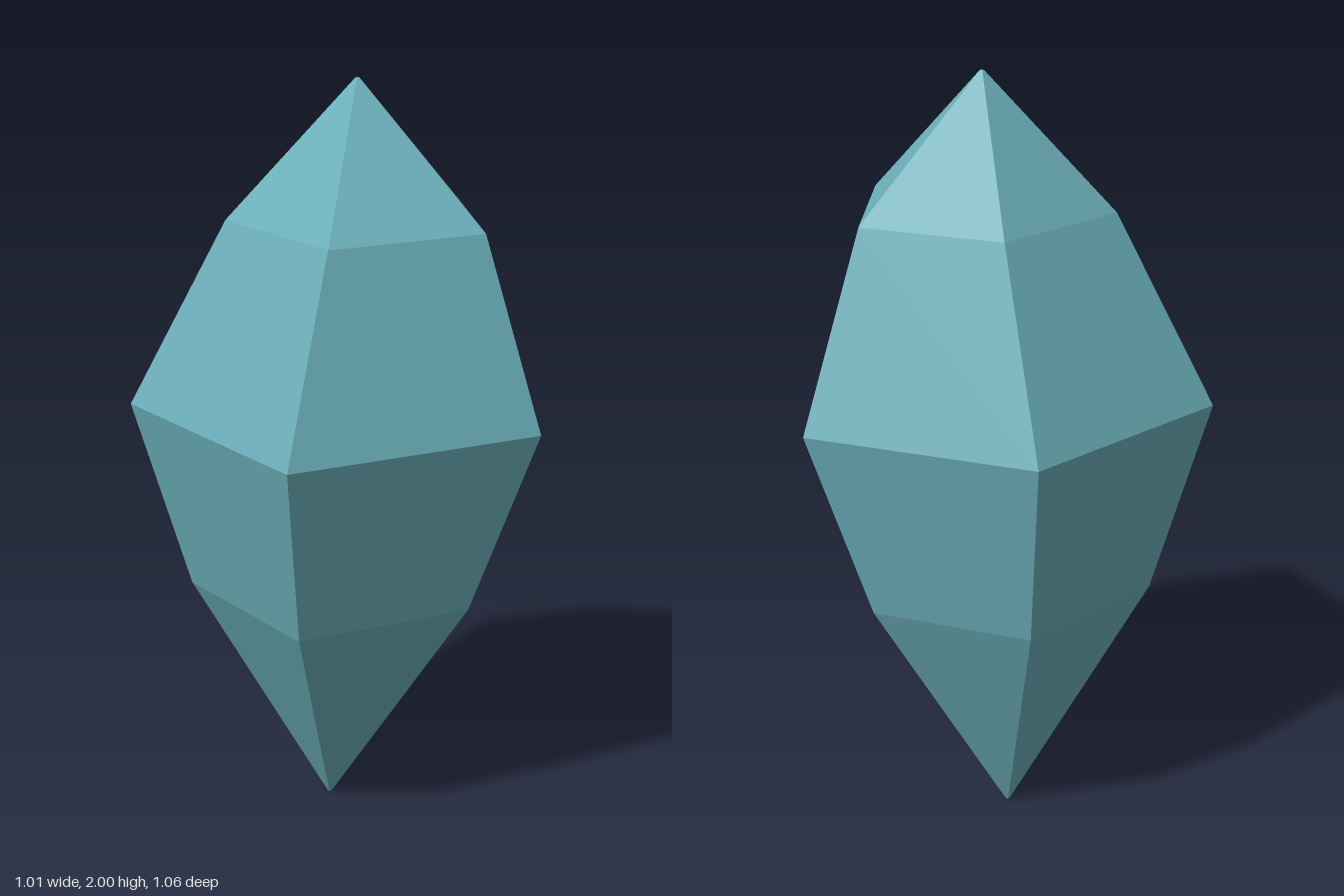
import * as THREE from 'three';

// Widest outline of the gem as [x, z], five corners
const OUTLINE = [[0.505, -0.03], [0.13, 0.53], [-0.51, 0.30], [-0.45, -0.315], [0.11, -0.53]];

// Cross-sections from bottom to top: height, scale of the outline, sideways shift
const SECTIONS = [
  { y: 0, s: 0.01, x: -0.115, z: -0.025 },
  { y: 0.66, s: 0.705, x: -0.041, z: -0.004 },
  { y: 1.17, s: 1, x: 0, z: 0 },
  { y: 1.655, s: 0.616, x: 0.029, z: -0.01 },
  { y: 2, s: 0.01, x: -0.025, z: -0.03 },
];

function loftGeometry() {
  const n = OUTLINE.length;
  const positions = SECTIONS.flatMap(({ y, s, x, z }) =>
    OUTLINE.flatMap(([px, pz]) => [px * s + x, y, pz * s + z]));
  const index = [];
  // Facets between neighbouring sections
  for (let r = 0; r < SECTIONS.length - 1; r++) {
    for (let i = 0; i < n; i++) {
      const a = r * n + i, b = r * n + (i + 1) % n;
      index.push(a, a + n, b + n, a, b + n, b);
    }
  }
  // Tiny caps at both tips
  const top = (SECTIONS.length - 1) * n;
  for (let i = 1; i < n - 1; i++) {
    index.push(0, i, i + 1, top, top + i + 1, top + i);
  }
  const indexed = new THREE.BufferGeometry();
  indexed.setAttribute('position', new THREE.Float32BufferAttribute(positions, 3));
  indexed.setIndex(index);
  const geometry = indexed.toNonIndexed();
  geometry.computeVertexNormals(); // unshared corners give flat facets
  return geometry;
}

export function createModel() {
  const group = new THREE.Group();
  group.name = 'crystal';
  const teal = new THREE.MeshStandardMaterial({ color: 0x6cb0ba });
  teal.name = 'teal';
  const gem = new THREE.Mesh(loftGeometry(), teal);
  gem.name = 'gem';
  group.add(gem);
  return group;
}
